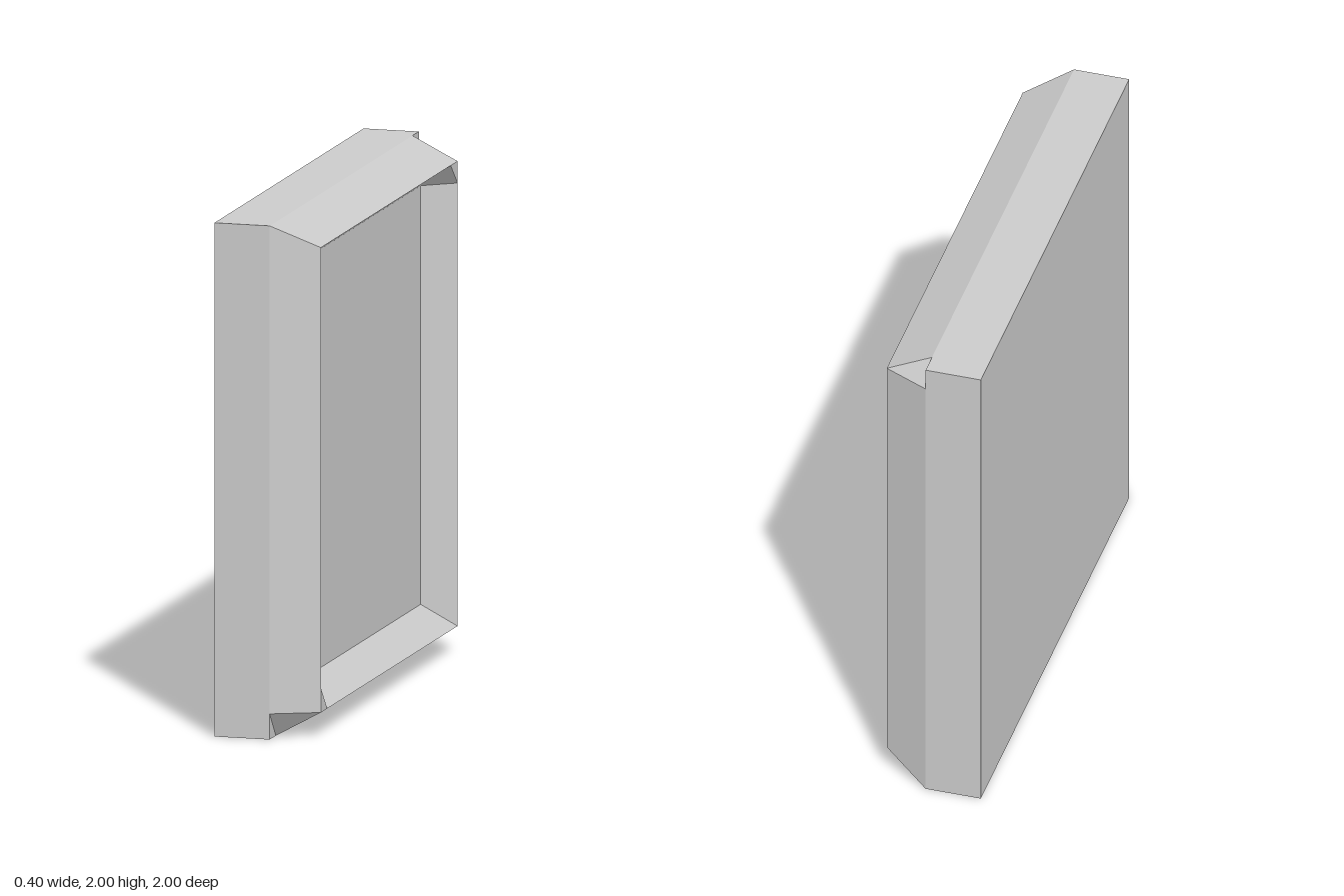
import * as THREE from 'three';

const BACK = -0.2, EDGE = 0.02, FLOOR = 0.08, RIDGE = 0.2;

// Raised rim and recessed panel: a grid of lines with one depth per ring
function faceGeometry() {
  const ys = [0, 0.1, 0.195, 1.825, 1.91, 2];
  const zs = [-1, -0.915, -0.823, 0.833, 0.917, 1];
  const depths = [EDGE, RIDGE, FLOOR];
  const point = (i, j) => {
    const ring = Math.min(i, j, 5 - i, 5 - j);
    return [depths[ring], ys[i], zs[j]];
  };
  const positions = [];
  for (let i = 0; i < 5; i++) {
    for (let j = 0; j < 5; j++) {
      const a = point(i, j), b = point(i, j + 1);
      const c = point(i + 1, j + 1), d = point(i + 1, j);
      positions.push(...a, ...d, ...c, ...a, ...c, ...b);
    }
  }
  const geometry = new THREE.BufferGeometry();
  geometry.setAttribute('position', new THREE.Float32BufferAttribute(positions, 3));
  geometry.computeVertexNormals();
  return geometry;
}

// Slab behind the rim, left open on the side the rim covers
function slabGeometry() {
  const geometry = new THREE.BoxGeometry(EDGE - BACK, 2, 2);
  geometry.setIndex(Array.from(geometry.index.array).slice(6));
  geometry.clearGroups();
  geometry.translate((EDGE + BACK) / 2, 1, 0);
  return geometry;
}

export function createModel() {
  const material = new THREE.MeshStandardMaterial({ color: 0xcccccc, flatShading: true });
  const model = new THREE.Group();
  model.name = 'framedPanel';

  const slab = new THREE.Mesh(slabGeometry(), material);
  slab.name = 'backSlab';

  const face = new THREE.Mesh(faceGeometry(), material);
  face.name = 'raisedRimAndPanel';

  model.add(slab, face);
  return model;
}
